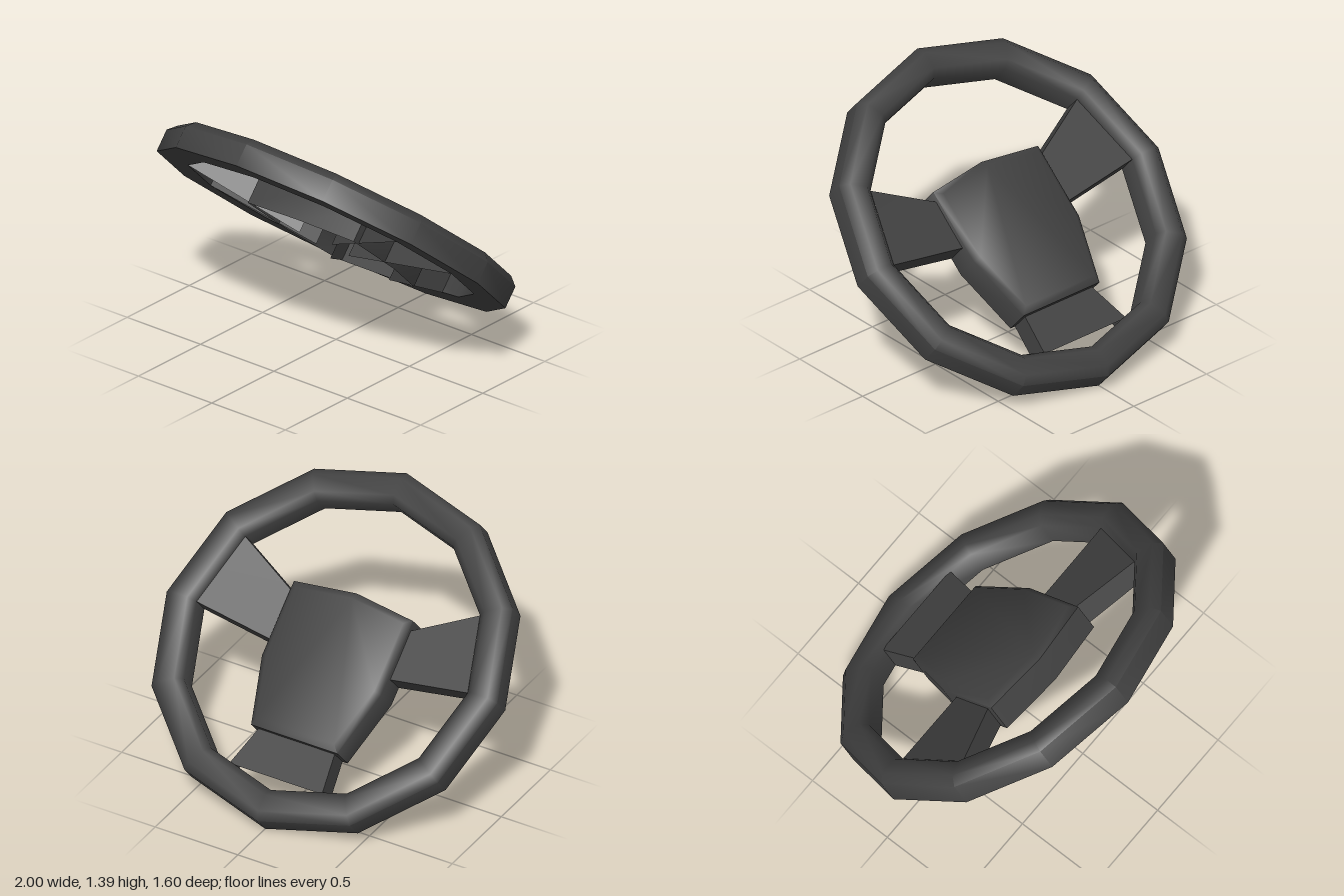
import * as THREE from 'three';
import { toCreasedNormals } from 'three/addons/utils/BufferGeometryUtils.js';

const CREASE = 0.9;

// Joins closed loops of points with quads; optionally caps the last loop.
function shell(loops, cap) {
  const pos = [];
  const tri = (a, b, c) => pos.push(...a, ...b, ...c);
  for (let k = 0; k < loops.length - 1; k++) {
    const lo = loops[k], hi = loops[k + 1], n = lo.length;
    for (let i = 0; i < n; i++) {
      const j = (i + 1) % n;
      tri(lo[i], lo[j], hi[j]);
      tri(lo[i], hi[j], hi[i]);
    }
  }
  if (cap) {
    const top = loops[loops.length - 1];
    for (let i = 1; i < top.length - 1; i++) tri(top[0], top[i], top[i + 1]);
  }
  const g = new THREE.BufferGeometry();
  g.setAttribute('position', new THREE.Float32BufferAttribute(pos, 3));
  return toCreasedNormals(g, CREASE);
}

// Spoke open underneath: a top plate with a wall along each side.
// Each edge is [inner x, inner z, outer x, outer z].
function spokeGeometry(edgeA, edgeB, innerBottom, innerTop) {
  const outerBottom = 0, outerTop = 0.124;
  const corners = ([xi, zi, xo, zo]) => ({
    inB: [xi, innerBottom, zi], inT: [xi, innerTop, zi],
    outB: [xo, outerBottom, zo], outT: [xo, outerTop, zo],
  });
  const a = corners(edgeA), b = corners(edgeB);
  const pos = [];
  const quad = (p, q, r, s) => pos.push(...p, ...q, ...r, ...p, ...r, ...s);
  quad(a.inB, a.outB, a.outT, a.inT);
  quad(a.inT, a.outT, b.outT, b.inT);
  quad(b.inT, b.outT, b.outB, b.inB);
  const g = new THREE.BufferGeometry();
  g.setAttribute('position', new THREE.Float32BufferAttribute(pos, 3));
  return toCreasedNormals(g, CREASE);
}

export function createModel() {
  const model = new THREE.Group();
  model.name = 'steeringWheel';

  const plastic = new THREE.MeshStandardMaterial({ color: 0x404040, side: THREE.DoubleSide });
  plastic.name = 'darkGreyPlastic';

  // The wheel is built flat, then tilted
  const wheel = new THREE.Group();
  wheel.name = 'tiltedWheel';
  wheel.rotation.x = THREE.MathUtils.degToRad(-40.4);
  wheel.position.set(0, 0.6525, 0.04);
  model.add(wheel);

  const add = (name, geometry) => {
    const mesh = new THREE.Mesh(geometry, plastic);
    mesh.name = name;
    wheel.add(mesh);
    return mesh;
  };

  // Twelve-sided rim with bevelled upper edges
  const profile = [
    [0.82, 0], [1, 0], [1, 0.124], [0.956, 0.167], [0.86, 0.167], [0.82, 0.124], [0.82, 0],
  ].map(([r, y]) => new THREE.Vector2(r, y));
  add('rim', toCreasedNormals(new THREE.LatheGeometry(profile, 12), CREASE));

  // Hub pad: a shell open underneath, with a bevelled top
  const outline = [
    [0, 0.315], [0.36, 0.272], [0.36, -0.155], [0.26, -0.522],
    [-0.26, -0.522], [-0.36, -0.155], [-0.36, 0.272],
  ];
  const loop = (y, scale) => outline.map(([x, z]) => [x * scale, y, (z + 0.1) * scale - 0.1]);
  add('hubPad', shell([loop(-0.057, 1), loop(0.107, 1), loop(0.135, 0.91)], true));

  // Side spokes, mirrored
  for (const [side, s] of [['left', 1], ['right', -1]]) {
    add(side + 'Spoke', spokeGeometry(
      [s * 0.11, 0.09, s * 0.71, 0.41],
      [s * 0.11, -0.087, s * 0.82, 0],
      -0.085, 0.055,
    ));
  }

  // Lower spoke
  add('lowerSpoke', spokeGeometry(
    [0.2, -0.378, 0.28, -0.755],
    [-0.2, -0.378, -0.28, -0.755],
    -0.089, 0.035,
  ));

  return model;
}
